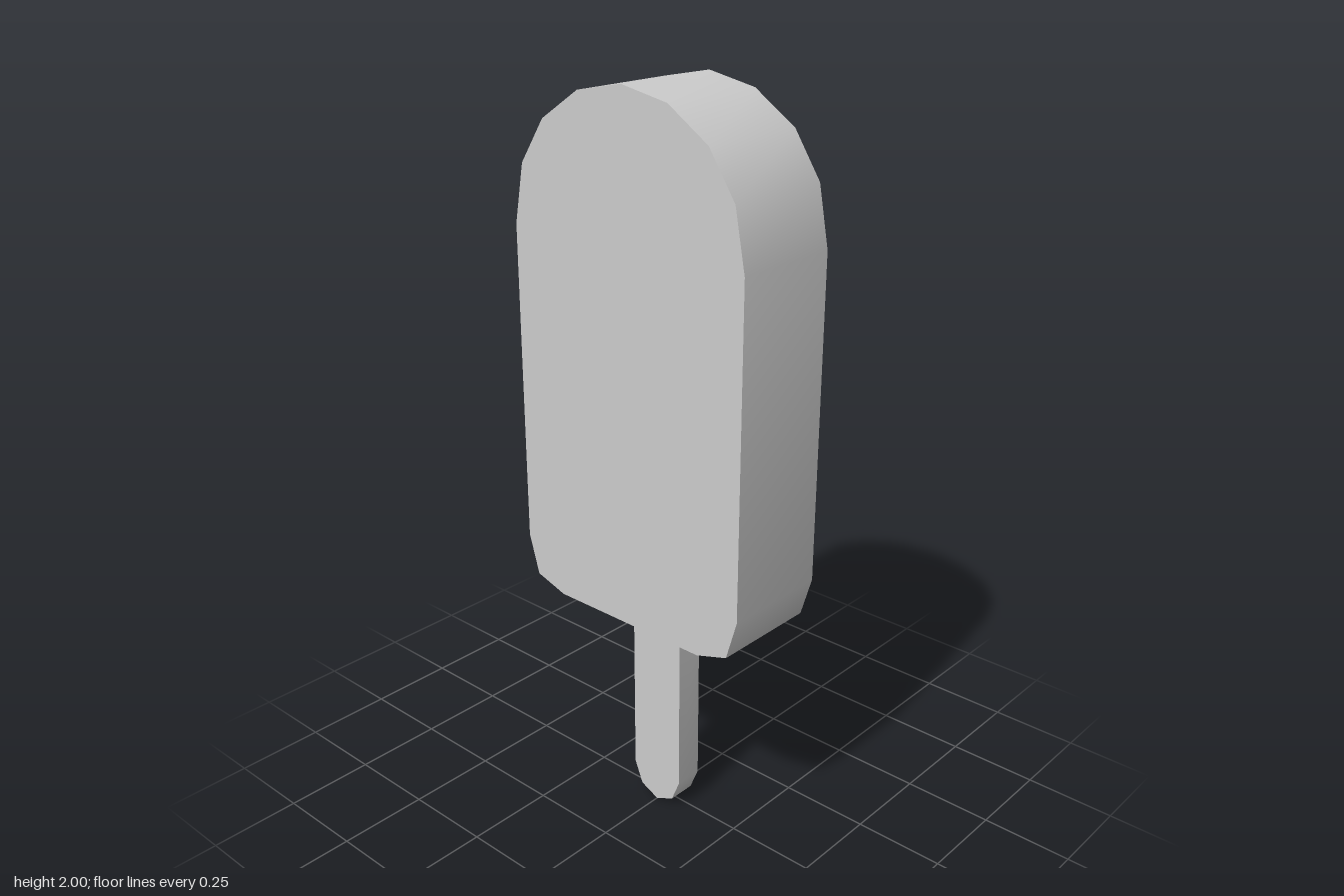
import * as THREE from 'three';
import { toCreasedNormals } from 'three/addons/utils/BufferGeometryUtils.js';

// Mirrors a half outline [z, y] (listed bottom to top) and extrudes it across x
function slab(name, half, thickness, material) {
  const mirrored = half.filter(([z]) => z > 0).reverse().map(([z, y]) => [-z, y]);
  const shape = new THREE.Shape([...half, ...mirrored].map(([z, y]) => new THREE.Vector2(z, y)));
  const extruded = new THREE.ExtrudeGeometry(shape, { depth: thickness, bevelEnabled: false });
  extruded.translate(0, 0, -thickness / 2).rotateY(Math.PI / 2);
  // Smooth around the rim, sharp against the flat faces
  const mesh = new THREE.Mesh(toCreasedNormals(extruded, 1.2), material);
  mesh.name = name;
  return mesh;
}

export function createModel() {
  const group = new THREE.Group();
  group.name = 'icePop';
  const material = new THREE.MeshStandardMaterial({ color: 0xcccccc });

  // Frozen block: clipped lower corners, domed top
  group.add(slab('iceBlock', [
    [0.24, 0.62], [0.335, 0.65], [0.367, 0.76], [0.367, 1.625],
    [0.337, 1.78], [0.26, 1.895], [0.14, 1.973], [0, 2],
  ], 0.305, material));

  // Flat stick with a rounded tip, sunk slightly into the block
  group.add(slab('stick', [
    [0, 0], [0.057, 0.026], [0.083, 0.09], [0.083, 0.64],
  ], 0.08, material));

  return group;
}
